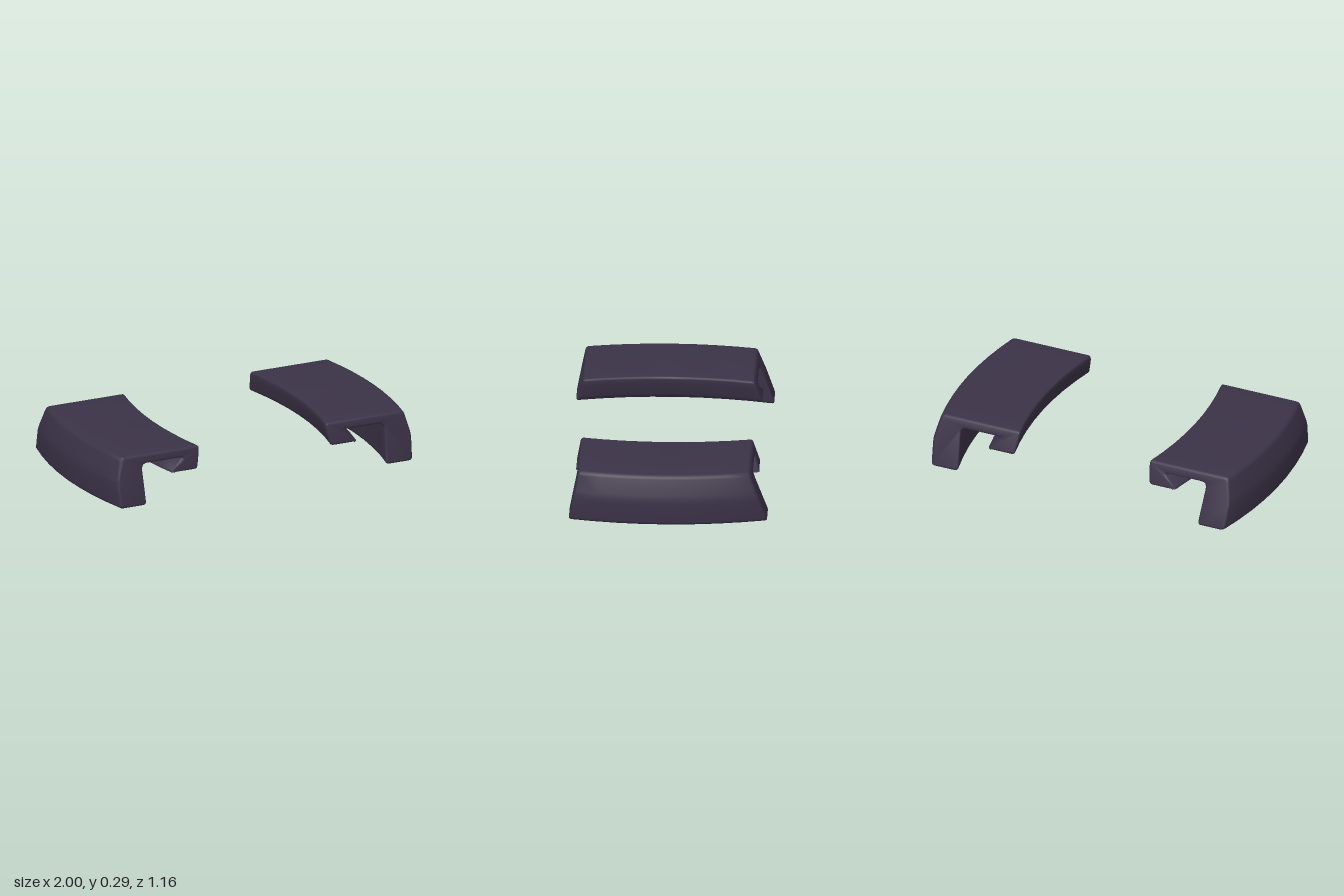
import * as THREE from 'three';
import { toCreasedNormals } from 'three/addons/utils/BufferGeometryUtils.js';

// Cross-section at mid length, counter-clockwise: x, y, corner radius
const SECTION = [
  [0.83, 0, 0.022], [1, 0, 0.022], [1, 0.15, 0.03], [0.957, 0.292, 0.025],
  [0.46, 0.292, 0.018], [0.46, 0.262, 0.015], [0.485, 0.158, 0.02],
  [0.66, 0.158, 0.022], [0.57, 0.237, 0.014], [0.83, 0.237, 0.035],
];

// Rounds each corner of the section with a short quadratic curve
function roundedOutline() {
  const pts = [];
  const n = SECTION.length;
  SECTION.forEach(([x, y, r], i) => {
    const c = new THREE.Vector2(x, y);
    const toward = ([px, py]) => {
      const d = new THREE.Vector2(px, py).sub(c);
      return d.setLength(Math.min(r, d.length() * 0.45)).add(c);
    };
    const curve = new THREE.QuadraticBezierCurve(
      toward(SECTION[(i + n - 1) % n]), c, toward(SECTION[(i + 1) % n]));
    pts.push(...curve.getPoints(4));
  });
  return pts;
}

// Moves the outline inward along its normals
function inset(pts, d) {
  const n = pts.length;
  return pts.map((p, i) => {
    const t = pts[(i + 1) % n].clone().sub(pts[(i + n - 1) % n]).normalize();
    return new THREE.Vector2(p.x - t.y * d, p.y + t.x * d);
  });
}

// Sweeps the section along a bowed path, with sloping, rounded ends
function bowedRail(side, shiftZ, yaw) {
  const R = 0.014;
  let outline = roundedOutline();
  if (side < 0) outline = outline.map((p) => new THREE.Vector2(-p.x, p.y)).reverse();
  const n = outline.length;

  // Stations: fraction along the length, z offset from the end, inset
  const stations = [];
  const bevel = [0, 30, 60, 90].map((a) => {
    const r = THREE.MathUtils.degToRad(a);
    return [R * (1 - Math.cos(r)), R * (1 - Math.sin(r))];
  });
  bevel.forEach(([z, d]) => stations.push([0, z, d]));
  for (let k = 1; k < 8; k++) stations.push([k / 8, 0, 0]);
  [...bevel].reverse().forEach(([z, d]) => stations.push([1, -z, d]));

  const pos = [];
  const index = [];
  stations.forEach(([t, dz, d]) => {
    inset(outline, d).forEach((p) => {
      const h = p.y / 0.29;
      const z = THREE.MathUtils.lerp(-0.587 + 0.105 * h, 0.557 - 0.055 * h, t) + dz;
      pos.push(p.x - side * 0.22 * z * z + yaw * z, p.y, z + shiftZ);
    });
  });
  for (let k = 0; k < stations.length - 1; k++) {
    for (let i = 0; i < n; i++) {
      const a = k * n + i;
      const b = k * n + (i + 1) % n;
      index.push(a, b, b + n, a, b + n, a + n);
    }
  }
  // End caps
  const last = (stations.length - 1) * n;
  THREE.ShapeUtils.triangulateShape(inset(outline, R), []).forEach(([a, b, c]) => {
    index.push(c, b, a, last + a, last + b, last + c);
  });

  const geo = new THREE.BufferGeometry();
  geo.setAttribute('position', new THREE.Float32BufferAttribute(pos, 3));
  geo.setIndex(index);
  return toCreasedNormals(geo, 0.75);
}

export function createModel() {
  const group = new THREE.Group();
  group.name = 'curvedRailPair';
  const darkPlum = new THREE.MeshStandardMaterial({ color: 0x3b3247 });
  darkPlum.name = 'dark plum';

  const add = (name, side, shiftZ, yaw) => {
    const mesh = new THREE.Mesh(bowedRail(side, shiftZ, yaw), darkPlum);
    mesh.name = name;
    group.add(mesh);
  };
  add('leftRail', 1, 0, 0.012);
  add('rightRail', -1, 0.02, 0);
  return group;
}
